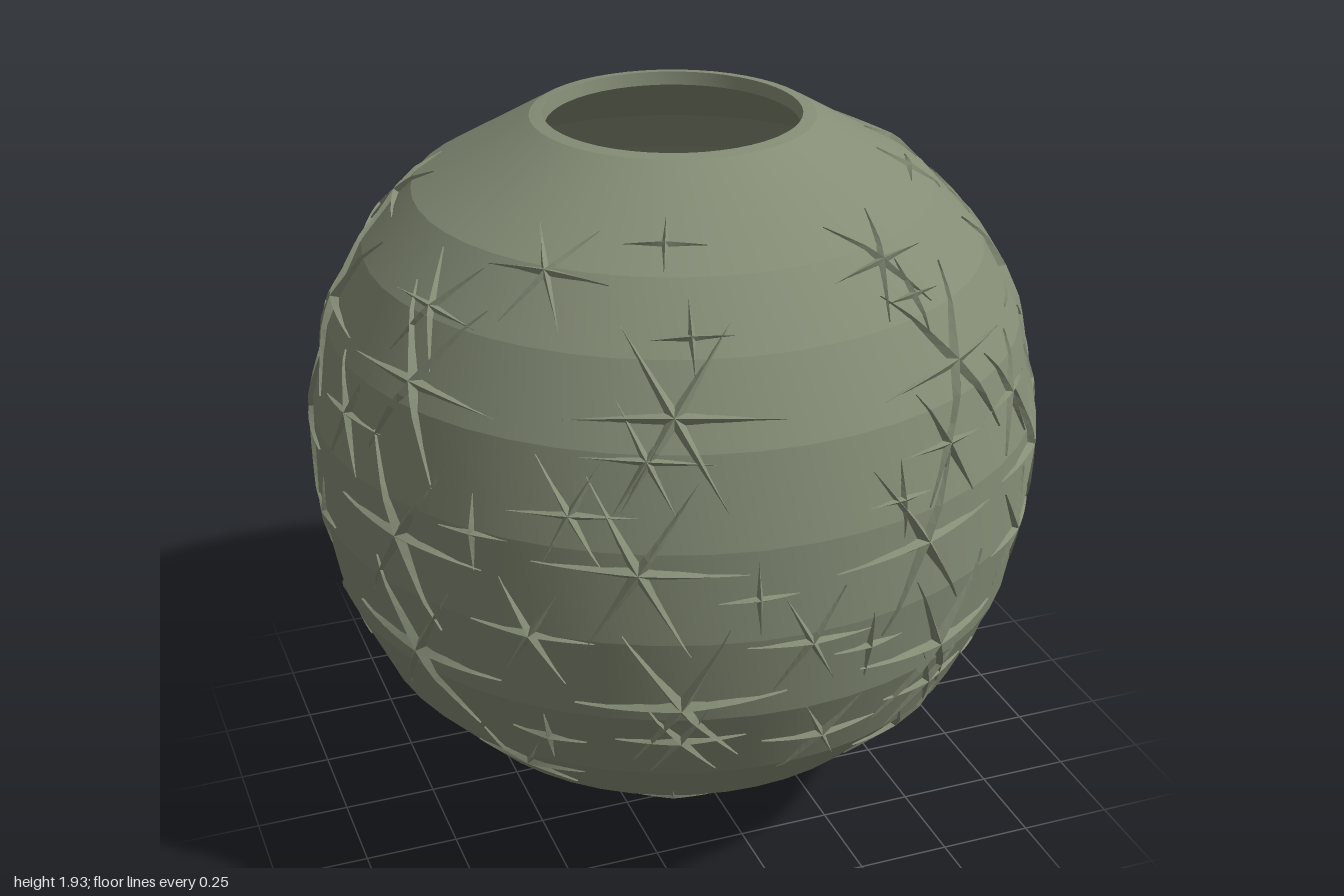
import * as THREE from 'three';
import { toCreasedNormals } from 'three/addons/utils/BufferGeometryUtils.js';

const CENTRE_Y = 1.02;

// Outer wall, bottom to top: [radius, height]
const outer = [
  [0, 0], [0.115, 0], [0.25, 0.035], [0.43, 0.125], [0.645, 0.26], [0.825, 0.455], [0.93, 0.685],
  [0.973, 0.925], [0.97, 1.17], [0.918, 1.405], [0.815, 1.6], [0.68, 1.75], [0.37, 1.93],
];
// Rim and inner wall, top to bottom
const inner = [
  [0.335, 1.935], [0.33, 1.9], [0.65, 1.71], [0.78, 1.57], [0.88, 1.39], [0.93, 1.16], [0.93, 0.93],
  [0.89, 0.7], [0.79, 0.48], [0.62, 0.3], [0.41, 0.17], [0.24, 0.08], [0, 0.05],
];

// Stars by size: [azimuth in degrees from the front towards +x, height]
const largeStars = [
  [-20, 1.48], [31, 1.48], [73, 1.48], [119, 1.5], [159, 1.47], [208, 1.46], [257, 1.46], [295, 1.46],
  [-25, 1.12], [19, 1.09], [54, 1.11], [98, 1.15], [136, 1.11], [180, 1.06], [220, 1.1], [253, 1.12], [296, 1.08],
  [-19, 0.73], [25, 0.75], [75, 0.74], [118, 0.76], [159, 0.73], [206, 0.73], [243, 0.77], [297, 0.75],
];
const mediumStars = [
  [-46, 1.74], [25, 1.72], [97, 1.76], [168, 1.71], [247, 1.7], [293, 1.62], [89, 1.63], [235, 1.6],
  [-24, 1.39], [-35, 1.25], [25, 1.31], [45, 1.32], [72, 1.28], [117, 1.33], [131, 1.32], [204, 1.28],
  [248, 1.39], [280, 1.3], [0, 0.9], [-41, 0.92], [46, 0.93], [70, 0.9], [136, 0.93], [225, 0.89], [187, 0.93],
  [-19, 0.6], [27, 0.6], [5, 0.56], [67, 0.52], [120, 0.55], [218, 0.56], [165, 0.55], [262, 0.58],
  [-49, 0.4], [29, 0.4], [98, 0.39], [180, 0.42], [242, 0.4],
];
const smallStars = [
  [-22, 1.8], [-17, 1.64], [28, 1.64], [68, 1.79], [167, 1.78], [106, 1.6], [186, 1.4], [235, 1.42],
  [15, 1.22], [64, 1.22], [241, 1.25], [150, 1.25], [-8, 1.04], [78, 1.02], [-50, 1.16], [10, 0.84], [93, 0.88],
  [148, 0.9], [270, 0.95], [52, 0.52], [88, 0.52], [-41, 0.57], [-20, 0.23], [140, 0.5], [200, 0.45],
];

// Point over the faceted outer wall along a direction from the vase centre
function onWall(dir, lift) {
  const d = dir.clone().normalize();
  const h = Math.hypot(d.x, d.z);
  for (let i = 1; i < outer.length - 1; i++) {
    const [r0, y0] = outer[i], [r1, y1] = outer[i + 1];
    const a = r0 * d.y - (y0 - CENTRE_Y) * h;
    const b = r1 * d.y - (y1 - CENTRE_Y) * h;
    if (a >= 0 && b <= 0) {
      const k = a / (a - b);
      const dist = Math.hypot(r0 + (r1 - r0) * k, y0 + (y1 - y0) * k - CENTRE_Y);
      return d.multiplyScalar(dist + lift).add(new THREE.Vector3(0, CENTRE_Y, 0));
    }
  }
  return d.multiplyScalar(0.97 + lift).add(new THREE.Vector3(0, CENTRE_Y, 0));
}

// Outer radius at a given height
function wallRadius(y) {
  const i = outer.findIndex((p, k) => k > 1 && p[1] >= y);
  const [r0, y0] = outer[i - 1], [r1, y1] = outer[i];
  return r0 + (r1 - r0) * (y - y0) / (y1 - y0);
}

// Raised stars: every arm is a tapering ridge that follows the wall
function starRelief(list, arms, length, width, height) {
  const positions = [];
  const steps = 6;
  list.forEach(([azimuth, y], index) => {
    const az = THREE.MathUtils.degToRad(azimuth);
    const r = wallRadius(y);
    const mid = new THREE.Vector3(Math.sin(az) * r, y - CENTRE_Y, Math.cos(az) * r);
    const east = new THREE.Vector3(Math.cos(az), 0, -Math.sin(az));
    const north = mid.clone().normalize().cross(east);
    const tilt = 0.06 * Math.sin(index * 2.3);
    for (let arm = 0; arm < arms; arm++) {
      const angle = arm * Math.PI * 2 / arms + tilt;
      const along = east.clone().multiplyScalar(Math.cos(angle)).addScaledVector(north, Math.sin(angle));
      const side = east.clone().multiplyScalar(-Math.sin(angle)).addScaledVector(north, Math.cos(angle));
      const section = (t) => {
        const w = width * (1 - t);
        const at = (offset, lift) => onWall(
          mid.clone().addScaledVector(along, t * length).addScaledVector(side, offset), lift);
        return [at(-w, -0.006), at(0, height * (1 - t * 0.8)), at(w, -0.006)];
      };
      for (let i = 0; i < steps; i++) {
        const a = section(i / steps), b = section((i + 1) / steps);
        for (let j = 0; j < 2; j++) {
          for (const p of [a[j], b[j], b[j + 1], a[j], b[j + 1], a[j + 1]]) positions.push(p.x, p.y, p.z);
        }
      }
    }
  });
  const geometry = new THREE.BufferGeometry();
  geometry.setAttribute('position', new THREE.Float32BufferAttribute(positions, 3));
  geometry.computeVertexNormals();
  return geometry;
}

export function createModel() {
  const group = new THREE.Group();
  group.name = 'starVase';
  const glaze = new THREE.MeshStandardMaterial({ color: 0x858d76 });
  const reliefGlaze = new THREE.MeshStandardMaterial({ color: 0x858d76, side: THREE.DoubleSide });

  const add = (name, geometry, material) => {
    const mesh = new THREE.Mesh(geometry, material);
    mesh.name = name;
    mesh.position.x = -0.02;
    group.add(mesh);
  };

  // Hollow round body with banded wall
  const profile = [...outer, ...inner].map(([r, y]) => new THREE.Vector2(r, y));
  add('vaseBody', toCreasedNormals(new THREE.LatheGeometry(profile, 48), 0.17), glaze);

  // Star decoration
  add('largeStars', starRelief(largeStars, 6, 0.27, 0.02, 0.018), reliefGlaze);
  add('mediumStars', starRelief(mediumStars, 6, 0.165, 0.014, 0.014), reliefGlaze);
  add('smallStars', starRelief(smallStars, 4, 0.1, 0.013, 0.012), reliefGlaze);

  return group;
}
